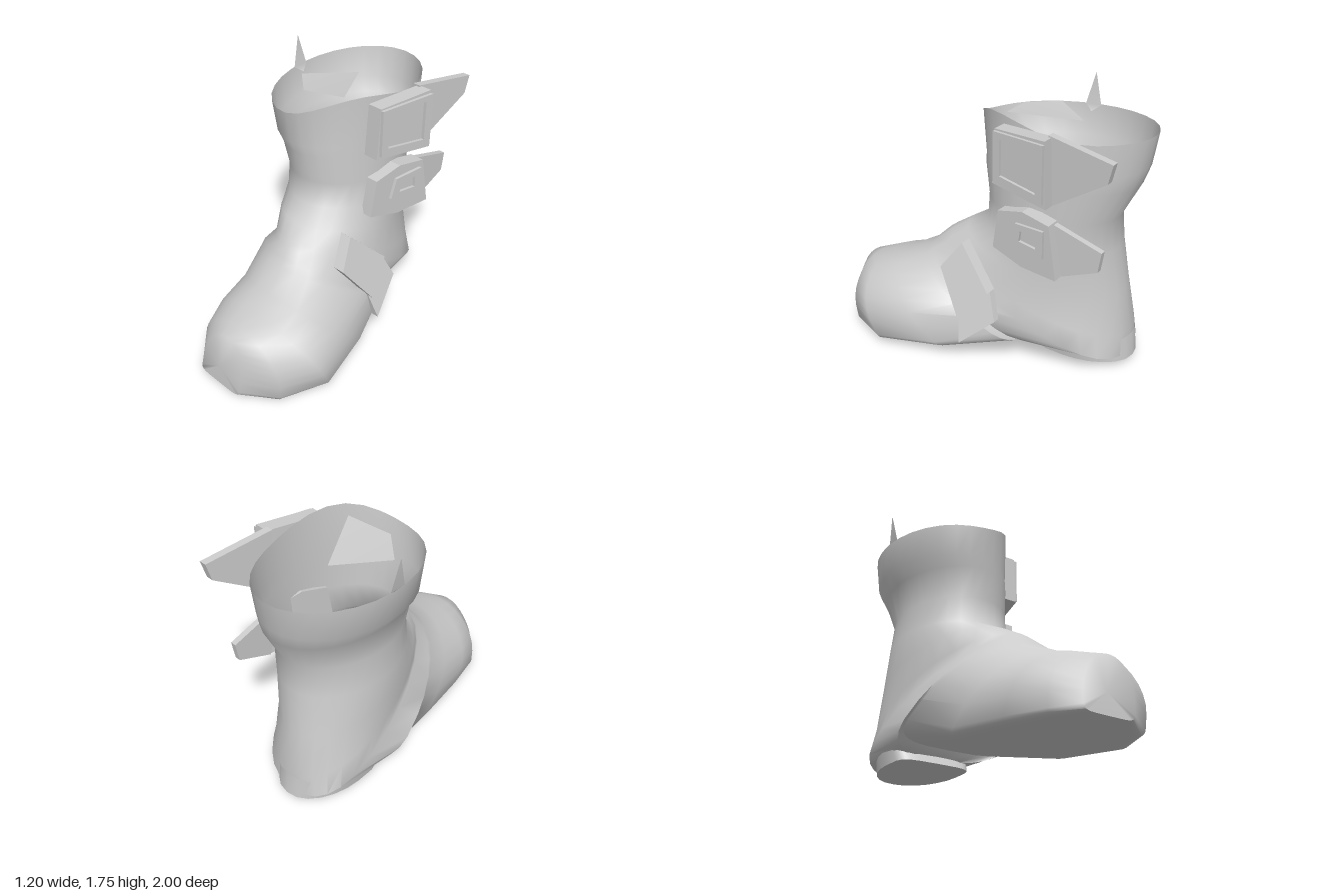
import * as THREE from 'three';
import { toCreasedNormals } from 'three/addons/utils/BufferGeometryUtils.js';

const material = new THREE.MeshStandardMaterial({ color: 0xcccccc, side: THREE.DoubleSide });

// Skin over tilted rings. Each ring: first end (z, y, x), second end (z, y, x),
// half width, boxiness (strong towards the second end, mild towards the first)
function loft(rings, sides, rule = () => 0) {
  const pos = [], index = [];
  rings.forEach(([zF, yF, xF, zB, yB, xB, w, k], i) => {
    for (let j = 0; j < sides; j++) {
      const t = (j / sides) * Math.PI * 2;
      const c = Math.cos(t), s = Math.sin(t);
      const p = 1 - (c < 0 ? 0.6 : 0.12) * k;
      let u = Math.sign(c) * Math.abs(c) ** p;
      u -= 0.35 * k * (1 - u * u);
      const f = (u + 1) / 2;
      pos.push(
        THREE.MathUtils.lerp(xB, xF, f) + w * Math.sign(s) * Math.abs(s) ** p,
        THREE.MathUtils.lerp(yB, yF, f) + rule(i, t),
        THREE.MathUtils.lerp(zB, zF, f));
      if (i < rings.length - 1) {
        const a = i * sides + j, b = i * sides + (j + 1) % sides;
        index.push(a, a + sides, b, b, a + sides, b + sides);
      }
    }
  });
  const g = new THREE.BufferGeometry();
  g.setAttribute('position', new THREE.Float32BufferAttribute(pos, 3));
  g.setIndex(index);
  return toCreasedNormals(g, 1.1);
}

// Plate outlined by [z, y] points, standing on the +x side; xAt sets its inner face
function plate(outline, depth, xAt, hole) {
  const toVec = ([z, y]) => new THREE.Vector2(-z, y);
  const shape = new THREE.Shape(outline.map(toVec));
  if (hole) shape.holes.push(new THREE.Path(hole.map(toVec)));
  const g = new THREE.ExtrudeGeometry(shape, { depth, bevelEnabled: false });
  g.rotateY(Math.PI / 2);
  const p = g.attributes.position;
  for (let i = 0; i < p.count; i++) p.setX(i, p.getX(i) + xAt(p.getZ(i), p.getY(i)));
  g.computeVertexNormals();
  return g;
}

// Thin sheet through four corners
function sheet(corners) {
  const g = new THREE.BufferGeometry();
  g.setAttribute('position', new THREE.Float32BufferAttribute(corners.flat(), 3));
  g.setIndex([0, 1, 2, 0, 2, 3]);
  g.computeVertexNormals();
  return g;
}

export function createModel() {
  const boot = new THREE.Group();
  boot.name = 'boot';
  const add = (name, geometry) => {
    const mesh = new THREE.Mesh(geometry, material);
    mesh.name = name;
    boot.add(mesh);
  };

  // Open shaft bending through the heel into the foot and closing at the toe
  const upper = [
    [0.14, 1.52, -0.18, -1.0, 1.57, -0.18, 0.41, 0],
    [0.11, 1.31, -0.17, -0.97, 1.36, -0.17, 0.4, 0],
    [0.1, 1.25, -0.14, -0.94, 1.25, -0.14, 0.37, 0],
    [0.06, 1.05, -0.12, -0.83, 1.03, -0.12, 0.35, 0],
    [0.07, 0.87, -0.12, -0.84, 0.82, -0.14, 0.36, 0],
    [0.2, 0.8, -0.06, -0.88, 0.52, -0.18, 0.37, 0],
    [0.3, 0.74, 0.0, -0.93, 0.22, -0.19, 0.38, 0.1],
    [0.34, 0.71, 0.02, -0.93, 0.07, -0.19, 0.39, 0.3],
    [0.39, 0.66, 0.04, -0.4, 0.08, -0.17, 0.42, 0.5],
    [0.43, 0.62, 0.05, -0.36, 0.14, -0.1, 0.44, 0.7],
    [0.6, 0.53, 0.12, 0.1, 0.05, 0.04, 0.45, 1],
    [0.75, 0.48, 0.15, 0.53, 0.02, 0.14, 0.46, 1],
    [0.87, 0.43, 0.14, 0.84, 0.0, 0.11, 0.35, 1],
    [0.95, 0.4, 0.12, 1.0, 0.01, 0.06, 0.18, 1],
    [0.99, 0.15, 0.06, 0.99, 0.15, 0.06, 0, 0],
  ];
  // The rim rises to a peak on the front of its +x side
  const rim = (i, t) => (i === 0 ? 0.12 * Math.max(0, Math.cos(t - 1)) ** 4 : 0);
  add('upper', loft(upper, 28, rim));

  // Heel: rounded at the back, straight across its front edge
  add('heel', loft([
    [-0.6, 0.04, -0.19, -0.6, 0.04, -0.19, 0, 0],
    [-0.96, 0.04, -0.19, -0.36, 0.04, -0.19, 0.26, 0.8],
    [-0.94, 0.2, -0.19, -0.42, 0.15, -0.19, 0.28, 0.8],
  ], 24));

  // Top strap: buckle pad, raised frame and loose end
  const topX = (z) => 0.2 - 0.2 * (z + 0.2);
  add('topStrapPad', plate(
    [[-0.18, 1.25], [-0.2, 1.6], [-0.58, 1.62], [-0.6, 1.21]], 0.1, topX));
  add('topBuckle', plate(
    [[-0.2, 1.27], [-0.2, 1.59], [-0.58, 1.6], [-0.58, 1.24]], 0.03, (z) => topX(z) + 0.09,
    [[-0.25, 1.32], [-0.25, 1.55], [-0.53, 1.56], [-0.53, 1.29]]));
  add('topStrapEnd', plate(
    [[-0.56, 1.63], [-1.0, 1.57], [-0.97, 1.45], [-0.6, 1.21]], 0.05,
    (z) => 0.25 - 0.15 * (z + 0.56)));

  // Middle strap: pad, buckle and loose end
  const middleX = (z) => 0.18 - 0.15 * (z + 0.2);
  add('middleStrapPad', plate(
    [[-0.17, 0.81], [-0.21, 1.07], [-0.4, 1.12], [-0.6, 1.09], [-0.66, 0.75], [-0.4, 0.75]], 0.1,
    middleX));
  add('middleBuckle', plate(
    [[-0.32, 0.9], [-0.36, 1.04], [-0.57, 1.05], [-0.57, 0.87]], 0.03, (z) => middleX(z) + 0.09,
    [[-0.39, 0.93], [-0.4, 1.0], [-0.52, 1.0], [-0.52, 0.92]]));
  add('middleStrapEnd', plate(
    [[-0.56, 1.09], [-0.92, 0.98], [-0.9, 0.85], [-0.66, 0.75]], 0.04, () => 0.24));

  // Instep strap with its lower end
  const instepX = (z, y) => 0.23 + (0.75 - y) * 0.34;
  add('instepStrap', plate(
    [[0.18, 0.6], [0.05, 0.78], [-0.2, 0.53], [-0.01, 0.33]], 0.08, instepX));
  add('instepStrapEnd', plate(
    [[0.0, 0.35], [-0.2, 0.53], [-0.27, 0.36], [-0.04, 0.16]], 0.05, instepX));

  // Tongue sheet across the opening and pull tab on the rim
  add('tongueFlap', sheet([
    [-0.18, 1.57, -0.53], [-0.42, 1.58, -0.24], [-0.23, 1.59, -0.07], [0.06, 1.62, -0.13]]));
  add('pullTab', sheet([
    [-0.58, 1.54, -0.33], [-0.6, 1.75, -0.385], [-0.58, 1.54, -0.44], [-0.55, 1.5, -0.385]]));

  return boot;
}
